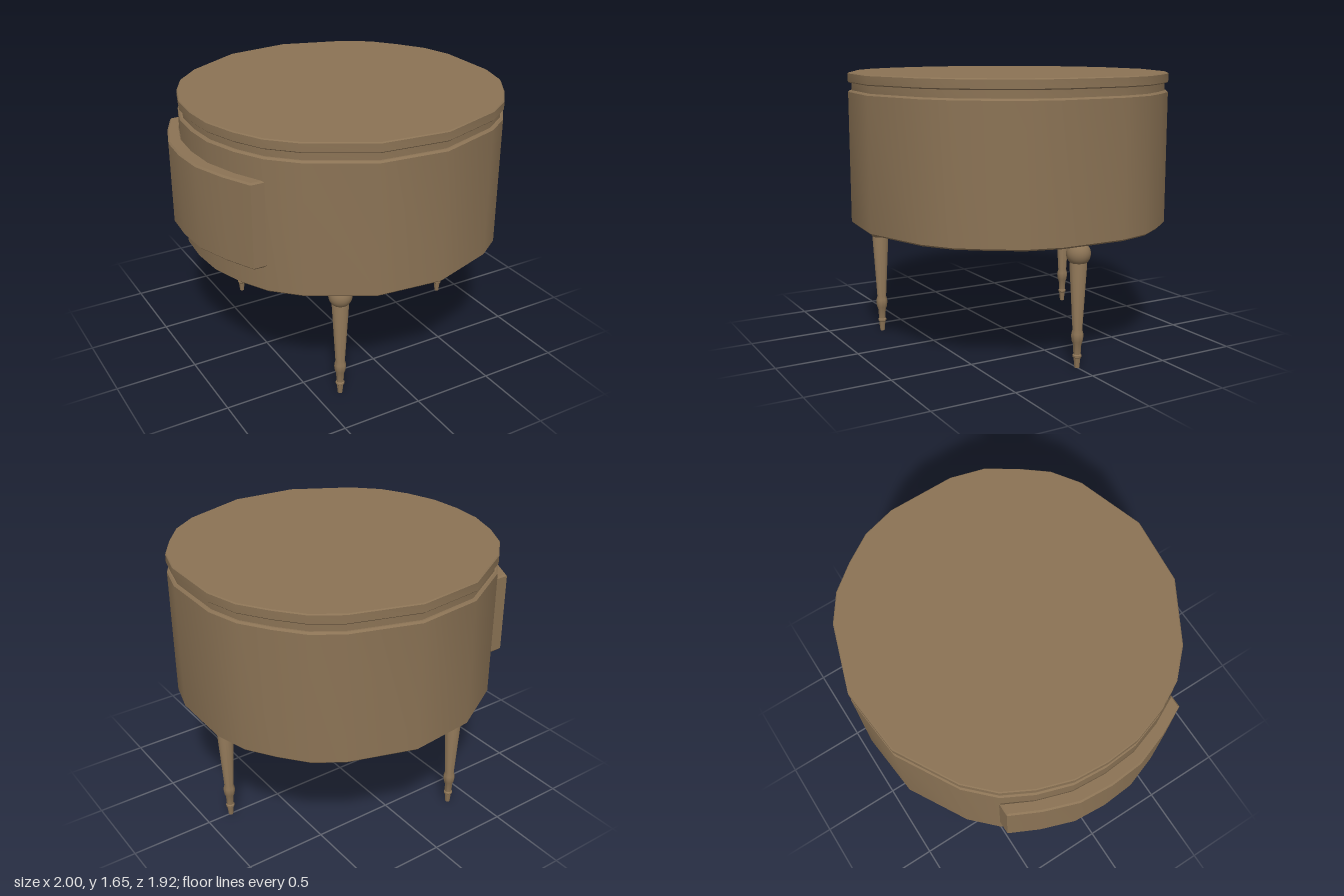
import * as THREE from 'three';
import { toCreasedNormals } from 'three/addons/utils/BufferGeometryUtils.js';

const wood = new THREE.MeshStandardMaterial({ color: 0x8b7355 });

// Half outline of the seat (x, z), mirrored across z = 0
const half = [[0.995, 0.2], [0.94, 0.4], [0.83, 0.57], [0.71, 0.72], [0.55, 0.83], [0.15, 0.96],
  [-0.25, 0.92], [-0.6, 0.72], [-0.75, 0.57], [-0.84, 0.4], [-0.905, 0.2]];
const mirrored = (pts) => pts.map(([x, z]) => [x, -z]).reverse();
const outline = [...half, [-0.92, 0], ...mirrored(half)];

// Upright slab with a narrow chamfer kept inside the outline
function slab(name, points, y0, y1, bevel, inset = 0) {
  const shape = new THREE.Shape(points.map(([x, z]) => new THREE.Vector2(x, z)));
  const geo = new THREE.ExtrudeGeometry(shape, {
    depth: y1 - y0 - 2 * bevel, bevelEnabled: true, bevelThickness: bevel,
    bevelSize: bevel, bevelOffset: -bevel - inset, bevelSegments: 1,
  });
  geo.rotateX(-Math.PI / 2).translate(0, y0 + bevel, 0);
  const mesh = new THREE.Mesh(toCreasedNormals(geo, 0.6), wood);
  mesh.name = name;
  return mesh;
}

// Turned leg: foot, ring, small bead, taper, ball and flared cap
function legGeometry() {
  const pts = [[0, 0], [0.014, 0], [0.02, 0.06], [0.026, 0.066], [0.026, 0.076], [0.021, 0.082], [0.024, 0.14],
    [0.031, 0.158], [0.035, 0.185], [0.034, 0.205], [0.028, 0.225], [0.05, 0.61]];
  for (let i = 0; i <= 10; i++) { // ball
    const a = -0.82 + (i / 10) * 1.75;
    pts.push([0.07 * Math.cos(a), 0.67 + 0.07 * Math.sin(a)]);
  }
  pts.push([0.05, 0.732], [0.08, 0.745], [0, 0.75]);
  const geo = new THREE.LatheGeometry(pts.map(([r, y]) => new THREE.Vector2(r, y)), 24);
  return toCreasedNormals(geo, 0.6);
}

export function createModel() {
  const model = new THREE.Group();
  model.name = 'roundStool';

  // Drum, recessed groove and lid
  model.add(slab('body', outline, 0.745, 1.55, 0.01));
  model.add(slab('groove', outline, 1.54, 1.605, 0.004, 0.02));
  model.add(slab('lid', outline, 1.595, 1.655, 0.006));

  // Curved panel wrapped around one side
  const outer = [[-0.83, 0.575], [-0.915, 0.4], [-0.985, 0.2]];
  const inner = [[-0.9, 0.2], [-0.835, 0.4], [-0.75, 0.575]];
  model.add(slab('sidePanel',
    [...outer, [-1, 0], ...mirrored(outer), ...mirrored(inner), [-0.915, 0], ...inner],
    0.905, 1.42, 0.01));

  // Three legs evenly spaced on a circle
  const leg = legGeometry();
  for (let i = 0; i < 3; i++) {
    const a = (i * 2 * Math.PI) / 3;
    const mesh = new THREE.Mesh(leg, wood);
    mesh.name = 'leg' + (i + 1);
    mesh.position.set(0.045 + 0.8 * Math.cos(a), 0, 0.8 * Math.sin(a));
    model.add(mesh);
  }
  return model;
}
